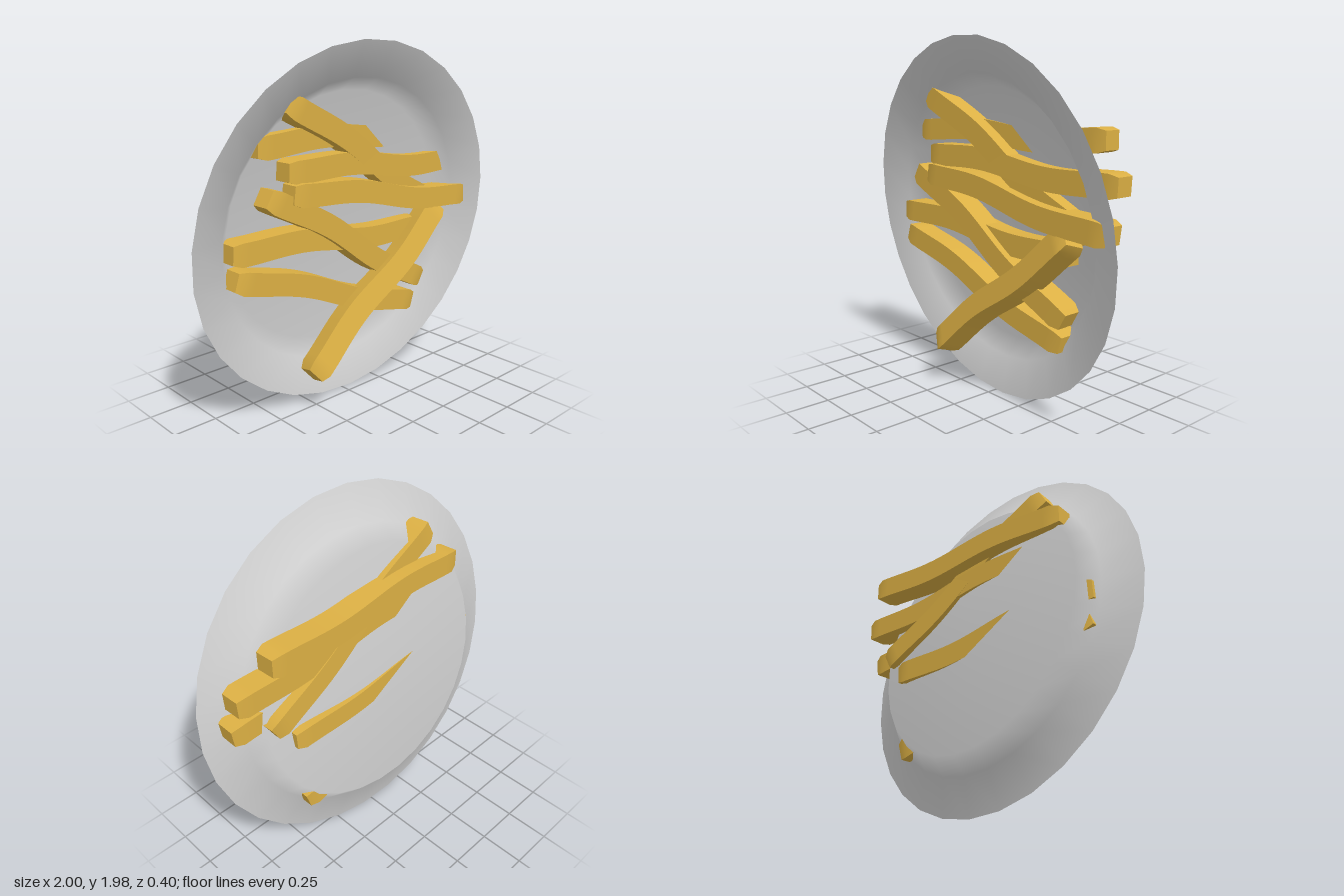
import * as THREE from 'three';

const V = (x, y, z) => new THREE.Vector3(x, y, z);

// A square bar with a gentle wave along its length and blunt pyramid ends
function fryGeometry(length, height, depth) {
  const g = new THREE.BoxGeometry(length, height, depth, 28, 2, 2);
  const p = g.attributes.position;
  for (let i = 0; i < p.count; i++) {
    const x = p.getX(i), y = p.getY(i), z = p.getZ(i);
    const t = x / length + 0.5;
    const end = Math.max(0, 1 - Math.min(t, 1 - t) * length / 0.05);
    const s = 1 - 0.22 * end * end;
    const wave = 0.028 * Math.sin(2 * Math.PI * t) * Math.sin(Math.PI * t);
    const isTip = end === 1 && Math.abs(y) < 1e-5 && Math.abs(z) < 1e-5;
    p.setXYZ(i, x + (isTip ? Math.sign(x) * 0.02 : 0), y * s + wave, z * s);
  }
  g.computeVertexNormals();
  return g;
}

// Lays a fry from one end point to the other, rolled about its own length
function makeFry(from, to, material, roll = 0, height = 0.122) {
  const dir = to.clone().sub(from);
  const length = dir.length();
  dir.normalize();
  const up = V(0, 0, 1).cross(dir).normalize();
  const front = dir.clone().cross(up);
  const mesh = new THREE.Mesh(fryGeometry(length, height, 0.13), material);
  mesh.quaternion.setFromRotationMatrix(new THREE.Matrix4().makeBasis(dir, up, front));
  mesh.rotateX(roll);
  mesh.position.copy(from).add(to).multiplyScalar(0.5);
  return mesh;
}

export function createModel() {
  const model = new THREE.Group();
  model.name = 'plateOfFries';

  const plateGrey = new THREE.MeshStandardMaterial({ color: 0xcfcfcf, side: THREE.DoubleSide });
  plateGrey.name = 'plate grey';
  const fryGold = new THREE.MeshStandardMaterial({ color: 0xdcb044 });
  fryGold.name = 'fry gold';

  // Thin plate: flat base, steep wall and sloping rim, tilted on its edge
  const profile = [[0, -0.165], [0.72, -0.165], [0.8, -0.07], [1, 0]]
    .map(([r, y]) => new THREE.Vector2(r, y));
  const plate = new THREE.Mesh(new THREE.LatheGeometry(profile, 30), plateGrey);
  plate.name = 'plate';
  plate.quaternion.setFromUnitVectors(V(0, 1, 0), V(-0.055, -0.125, 1).normalize());
  plate.position.set(0, 1, 0.065);
  model.add(plate);

  // Scattered fries: start, end, roll, height
  const fries = [
    [V(-0.60, 1.48, -0.05), V(0.75, 1.48, -0.125)],
    [V(-0.45, 1.35, 0.0), V(0.90, 1.28, -0.04)],
    [V(-0.44, 1.24, 0.03), V(0.90, 1.06, 0.03)],
    [V(-0.45, 1.69, 0.015), V(0.71, 1.02, -0.05)],
    [V(-0.58, 1.24, 0.01), V(0.58, 0.57, -0.03)],
    [V(-0.77, 0.98, -0.04), V(0.59, 0.90, -0.06)],
    [V(-0.75, 0.84, -0.045), V(0.54, 0.43, -0.06)],
    [V(-0.33, 0.235, 0.06), V(0.66, 1.02, 0.04), -0.35, 0.13],
  ];
  const pile = new THREE.Group();
  pile.name = 'fries';
  fries.forEach(([from, to, roll, height], i) => {
    const fry = makeFry(from, to, fryGold, roll, height);
    fry.name = 'fry' + (i + 1);
    pile.add(fry);
  });
  model.add(pile);

  return model;
}
